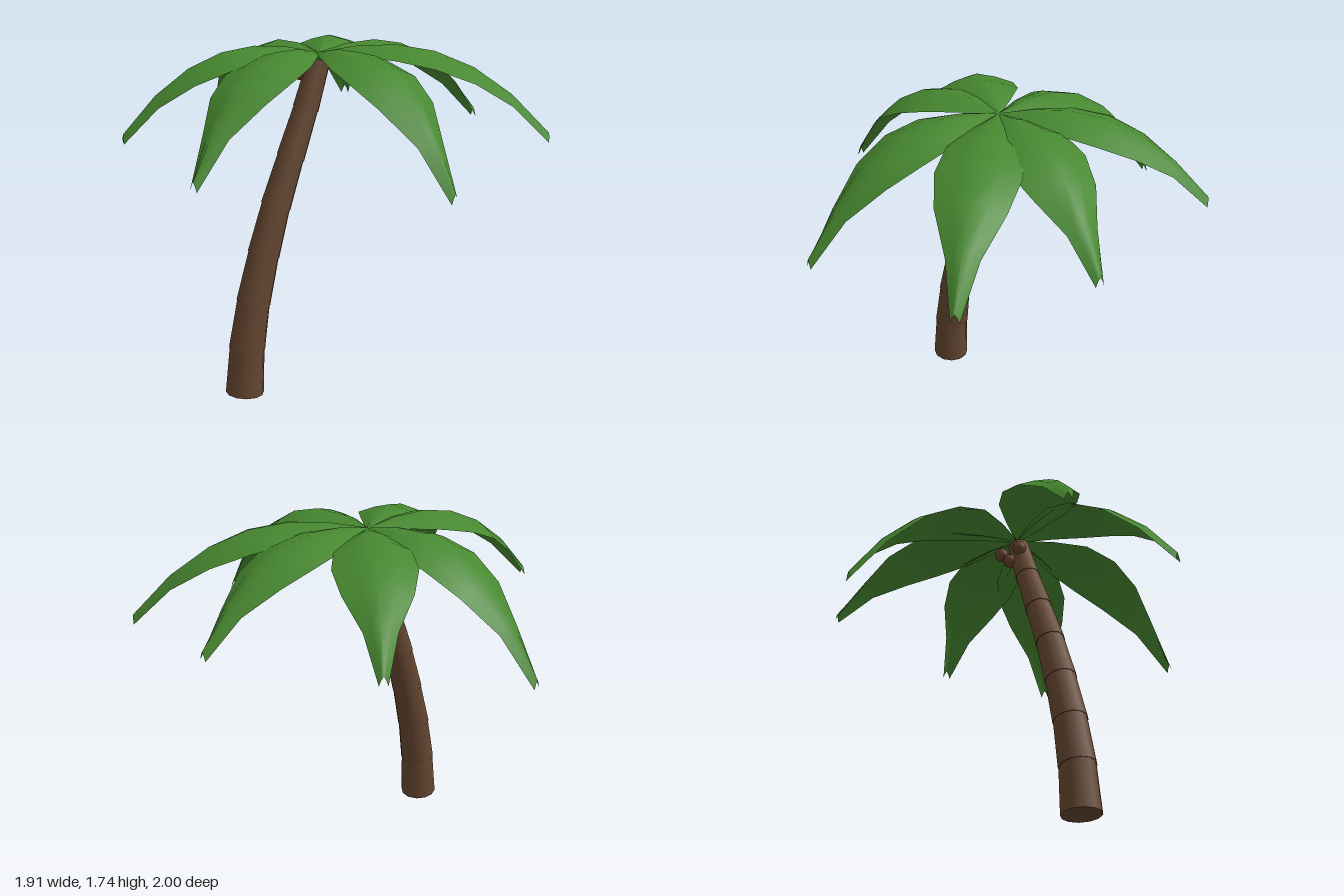
import * as THREE from 'three';

const leafGreen = new THREE.MeshStandardMaterial({ color: 0x478830, side: THREE.DoubleSide });
leafGreen.name = 'leafGreen';
const barkBrown = new THREE.MeshStandardMaterial({ color: 0x644630 });
barkBrown.name = 'barkBrown';
const coconutBrown = new THREE.MeshStandardMaterial({ color: 0x68452f });
coconutBrown.name = 'coconutBrown';

const CROWN = new THREE.Vector3(-0.03, 1.70, -0.02);

// Leaning trunk: tapered segments stacked along a curve
function createTrunk() {
  const trunk = new THREE.Group();
  trunk.name = 'trunk';
  const joints = [[-0.52, 0.012], [-0.5, 0.247], [-0.455, 0.485], [-0.387, 0.725],
    [-0.308, 0.96], [-0.213, 1.195], [-0.115, 1.43], [-0.03, 1.66]]
    .map(([x, y]) => new THREE.Vector3(x, y, -0.012));
  const up = new THREE.Vector3(0, 1, 0);
  const last = joints.length - 1;
  for (let i = 0; i < last; i++) {
    const dir = joints[i + 1].clone().sub(joints[i]);
    const length = dir.length() + (i < last - 1 ? 0.012 : 0);
    const bottom = 0.097 - 0.0052 * i;
    const geometry = new THREE.CylinderGeometry(bottom - 0.009, bottom, length, 12);
    geometry.translate(0, length / 2, 0);
    const segment = new THREE.Mesh(geometry, barkBrown);
    segment.name = 'trunkSegment';
    segment.position.copy(joints[i]);
    segment.quaternion.setFromUnitVectors(up, dir.normalize());
    trunk.add(segment);
  }
  return trunk;
}

// Arched leaf from the crown to a tip, with a raised midrib and drooping edges
function createFrond(tipX, tipY, tipZ) {
  const halfWidths = [0.008, 0.1, 0.178, 0.195, 0.158, 0.075, 0.02];
  const edgeDrops = [0.01, 0.04, 0.058, 0.065, 0.06, 0.05, 0.045];
  const rows = halfWidths.length, columns = 5;
  const run = new THREE.Vector3(tipX - CROWN.x, 0, tipZ - CROWN.z);
  const side = new THREE.Vector3(run.z, 0, -run.x).normalize();
  const fall = CROWN.y - tipY;
  const positions = [], index = [];
  for (let r = 0; r < rows; r++) {
    const t = r / (rows - 1);
    const y = 0.25 * t - (0.25 + fall) * Math.pow(t, 2.5);
    for (let c = 0; c < columns; c++) {
      const s = (c / (columns - 1)) * 2 - 1;
      const p = CROWN.clone().addScaledVector(run, t).addScaledVector(side, s * halfWidths[r]);
      p.y += y - edgeDrops[r] * Math.pow(Math.abs(s), 1.4);
      positions.push(p.x, p.y, p.z);
      if (r < rows - 1 && c < columns - 1) {
        const a = r * columns + c, b = a + columns;
        index.push(a, b, a + 1, a + 1, b, b + 1);
      }
    }
  }
  const geometry = new THREE.BufferGeometry();
  geometry.setAttribute('position', new THREE.Float32BufferAttribute(positions, 3));
  geometry.setIndex(index);
  geometry.computeVertexNormals();
  const frond = new THREE.Mesh(geometry, leafGreen);
  frond.name = 'frond';
  return frond;
}

export function createModel() {
  const model = new THREE.Group();
  model.name = 'palmTree';
  model.add(createTrunk());

  // Seven fronds, given by their tips
  const fronds = new THREE.Group();
  fronds.name = 'fronds';
  const tips = [[-0.03, 1.17, -1], [0.73, 1.37, -0.71], [0.95, 1.33, 0.13], [0.81, 1.31, 0.77],
    [-0.09, 1.2, 1], [-0.955, 1.25, 0.27], [-0.94, 1.35, -0.37]];
  for (const tip of tips) fronds.add(createFrond(...tip));
  model.add(fronds);

  // Coconuts behind the top of the trunk
  const nut = new THREE.SphereGeometry(0.037, 12, 8);
  for (const [x, y, z] of [[0.01, 1.6, -0.095], [-0.105, 1.6, -0.06], [-0.04, 1.545, -0.075]]) {
    const coconut = new THREE.Mesh(nut, coconutBrown);
    coconut.name = 'coconut';
    coconut.position.set(x, y, z);
    model.add(coconut);
  }
  return model;
}
